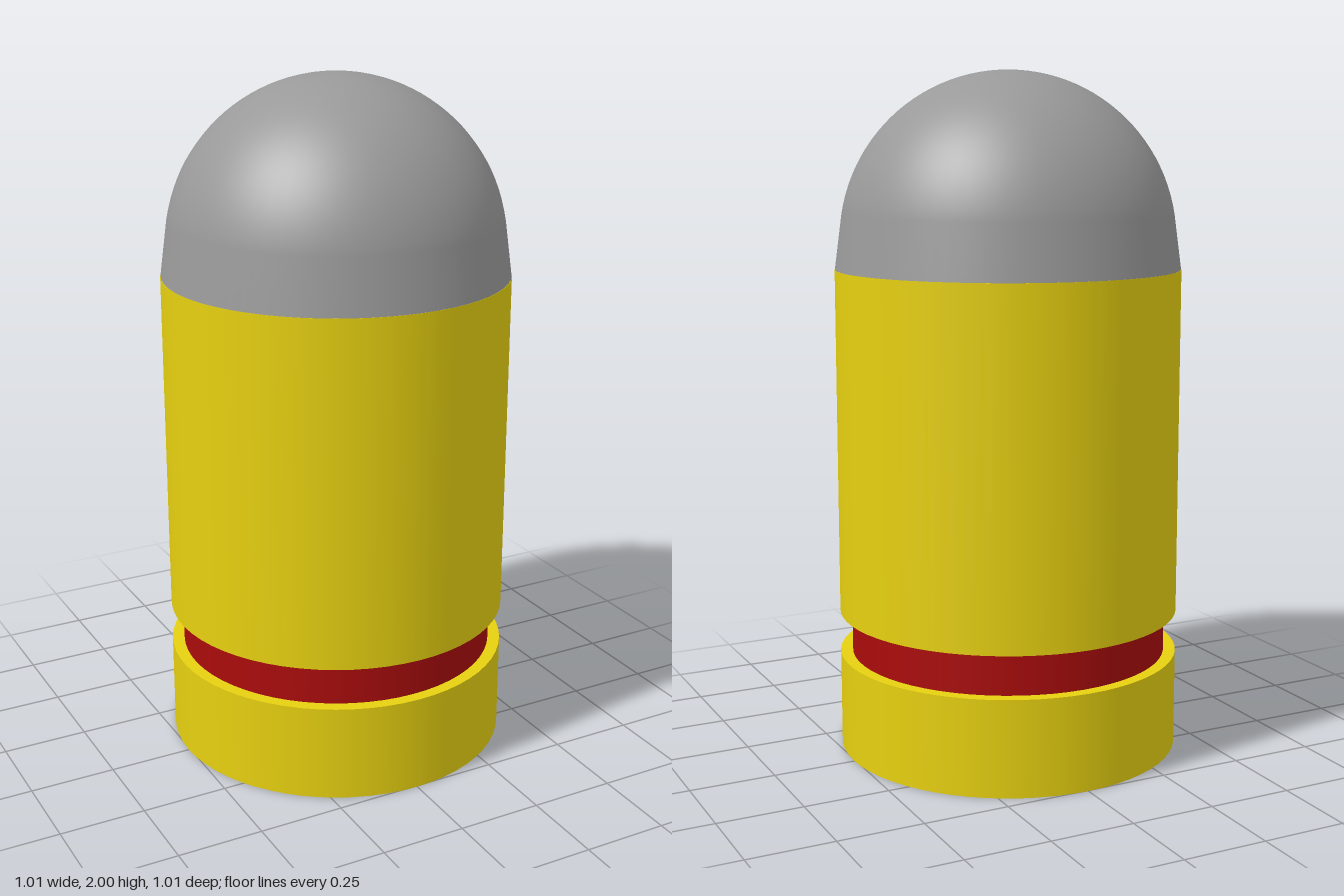
import * as THREE from 'three';

const SEGMENTS = 64;
const RADIUS = 0.506;

export function createModel() {
  const model = new THREE.Group();
  model.name = 'cartridge';

  const brass = new THREE.MeshStandardMaterial({ color: 0xe6d010 });
  const red = new THREE.MeshStandardMaterial({ color: 0xaa0c0c });
  const lead = new THREE.MeshStandardMaterial({ color: 0x999999 });
  const copper = new THREE.MeshStandardMaterial({ color: 0xb16426 });

  const add = (name, geometry, material) => {
    const mesh = new THREE.Mesh(geometry, material);
    mesh.name = name;
    model.add(mesh);
    return mesh;
  };

  // Upright cylinder between two heights
  const band = (name, radius, bottom, top, material, open = false) => {
    const geometry = new THREE.CylinderGeometry(radius, radius, top - bottom, SEGMENTS, 1, open);
    add(name, geometry, material).position.y = (bottom + top) / 2;
  };

  // Case: rim, recessed groove and body
  band('rim', RADIUS, 0, 0.285, brass);
  band('extractorGroove', 0.47, 0.285, 0.41, red, true);
  band('caseBody', RADIUS, 0.41, 1.43, brass);

  // Primer, flush with the underside
  const primer = add('primer', new THREE.CircleGeometry(0.152, 48), copper);
  primer.rotation.x = Math.PI / 2;
  primer.position.y = -0.001;

  // Bullet: slightly tapered skirt running into a round nose
  const noseRadius = 0.49;
  const noseCentre = 2 - noseRadius;
  const start = Math.asin((1.59 - noseCentre) / noseRadius);
  const profile = [new THREE.Vector2(0.505, 1.43)];
  const steps = 24;
  for (let i = 0; i <= steps; i++) {
    const a = THREE.MathUtils.lerp(start, Math.PI / 2, i / steps);
    const r = i === steps ? 0 : noseRadius * Math.cos(a);
    profile.push(new THREE.Vector2(r, noseCentre + noseRadius * Math.sin(a)));
  }
  add('bullet', new THREE.LatheGeometry(profile, SEGMENTS), lead);

  return model;
}
